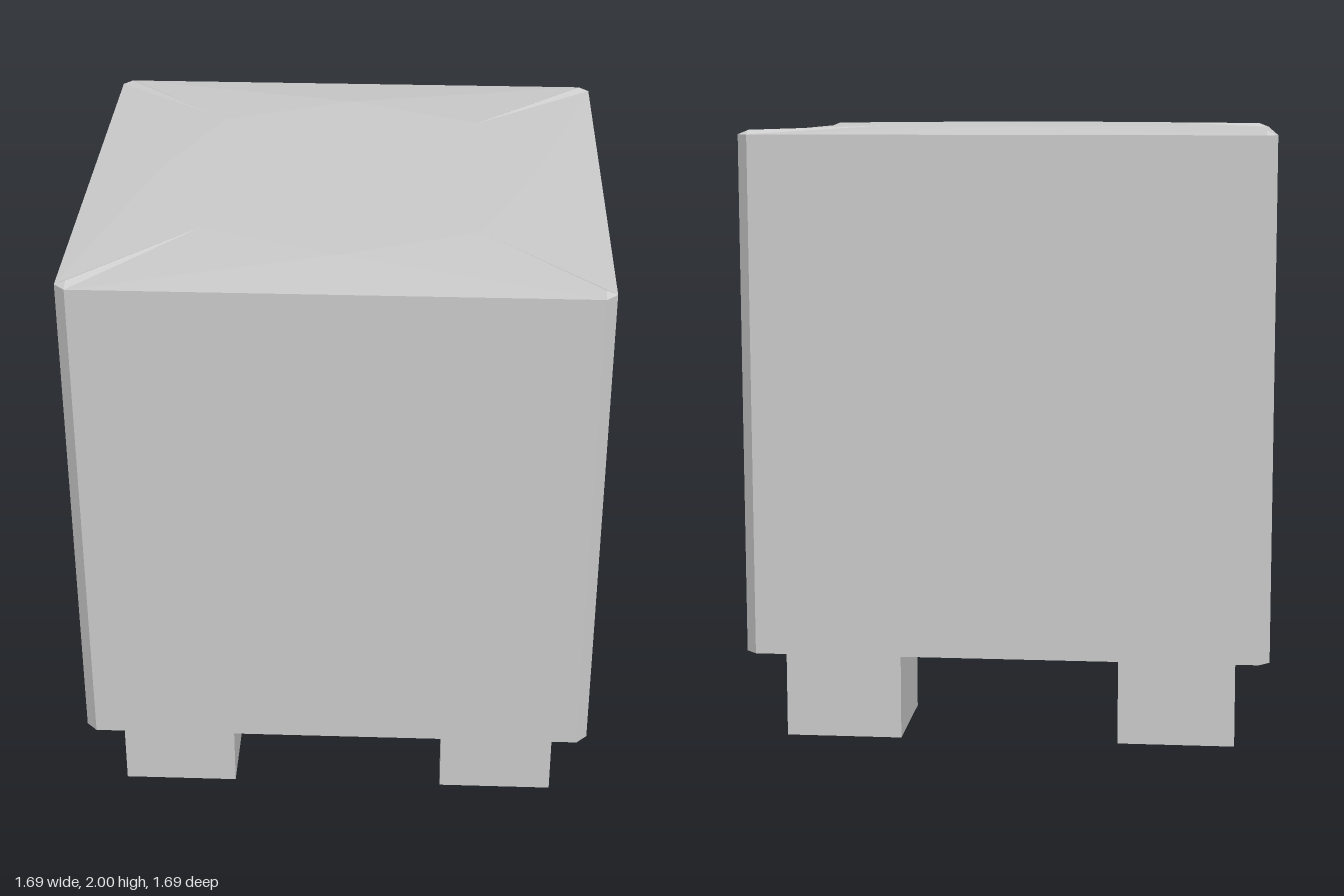
import * as THREE from 'three';

const C = 0.81, W = 0.845;            // flat half width, full half width
const BASE = 0.31, EDGE = 1.978, APEX = 1.992, TOP = 2;
const HOLE_R = 0.22, HOLE_Y = 1.15, HOLE_DEPTH = 0.5;

// Flat-faced geometry from convex polygons, each wound counter-clockwise
function facets(polygons) {
  const pos = [];
  for (const p of polygons) {
    for (let i = 1; i < p.length - 1; i++) pos.push(...p[0], ...p[i], ...p[i + 1]);
  }
  const g = new THREE.BufferGeometry();
  g.setAttribute('position', new THREE.Float32BufferAttribute(pos, 3));
  g.computeVertexNormals();
  return g;
}

export function createModel() {
  const model = new THREE.Group();
  model.name = 'boxOnFeet';
  const mat = new THREE.MeshStandardMaterial({ color: 0xcccccc, flatShading: true });
  const inner = mat.clone();
  inner.side = THREE.DoubleSide;

  const add = (name, geometry, parent = model, material = mat) => {
    const mesh = new THREE.Mesh(geometry, material);
    mesh.name = name;
    parent.add(mesh);
    return mesh;
  };

  // One quarter of the body, turned four times about y
  const cornerL = [-C, EDGE, W], cornerR = [C, EDGE, W];
  const apexL = [-C, APEX, C], apexR = [C, APEX, C];
  const mid = [0, TOP, 0.62], diagL = [-0.44, TOP, 0.44], diagR = [0.44, TOP, 0.44];
  const wall = facets([[[-C, BASE, W], [C, BASE, W], cornerR, cornerL]]);
  const chamfer = facets([
    [[C, BASE, W], [W, BASE, C], [W, EDGE, C], cornerR],
    [cornerR, [W, EDGE, C], apexR],
  ]);
  const lid = facets([
    [cornerL, cornerR, mid],
    [cornerR, apexR, diagR, mid],
    [cornerL, mid, diagL, apexL],
    [[0, TOP, 0], diagL, mid, diagR],
  ]);
  const underside = facets([[[0, BASE, 0], [W, BASE, C], [C, BASE, W], [-C, BASE, W]]]);

  // Wall pierced by the octagonal opening
  const shape = new THREE.Shape();
  shape.moveTo(-C, BASE).lineTo(C, BASE).lineTo(C, EDGE).lineTo(-C, EDGE).closePath();
  const ring = [];
  for (let i = 0; i < 8; i++) {
    const a = -i * Math.PI / 4;
    ring.push(new THREE.Vector2(HOLE_R * Math.cos(a), HOLE_Y + HOLE_R * Math.sin(a)));
  }
  shape.holes.push(new THREE.Path(ring));
  const piercedWall = new THREE.ShapeGeometry(shape).translate(0, 0, W);

  for (let i = 0; i < 4; i++) {
    const side = new THREE.Group();
    side.name = 'bodySide';
    side.rotation.y = i * Math.PI / 2;
    add('wall', i === 3 ? piercedWall : wall, side);
    add('cornerChamfer', chamfer, side);
    add('domedLid', lid, side);
    add('underside', underside, side);
    model.add(side);
  }

  // Blind octagonal hole in the right-hand wall
  const bore = new THREE.CylinderGeometry(HOLE_R, HOLE_R, HOLE_DEPTH, 8, 1, true).rotateZ(Math.PI / 2);
  add('holeBore', bore, model, inner).position.set(-W + HOLE_DEPTH / 2, HOLE_Y, 0);
  const end = new THREE.CircleGeometry(HOLE_R, 8).rotateY(-Math.PI / 2);
  add('holeEnd', end, model, inner).position.set(-W + HOLE_DEPTH, HOLE_Y, 0);

  // Four square feet
  const foot = new THREE.BoxGeometry(0.38, BASE, 0.38);
  for (const x of [-0.547, 0.547]) {
    for (const z of [-0.522, 0.522]) add('foot', foot).position.set(x, BASE / 2, z);
  }
  return model;
}
